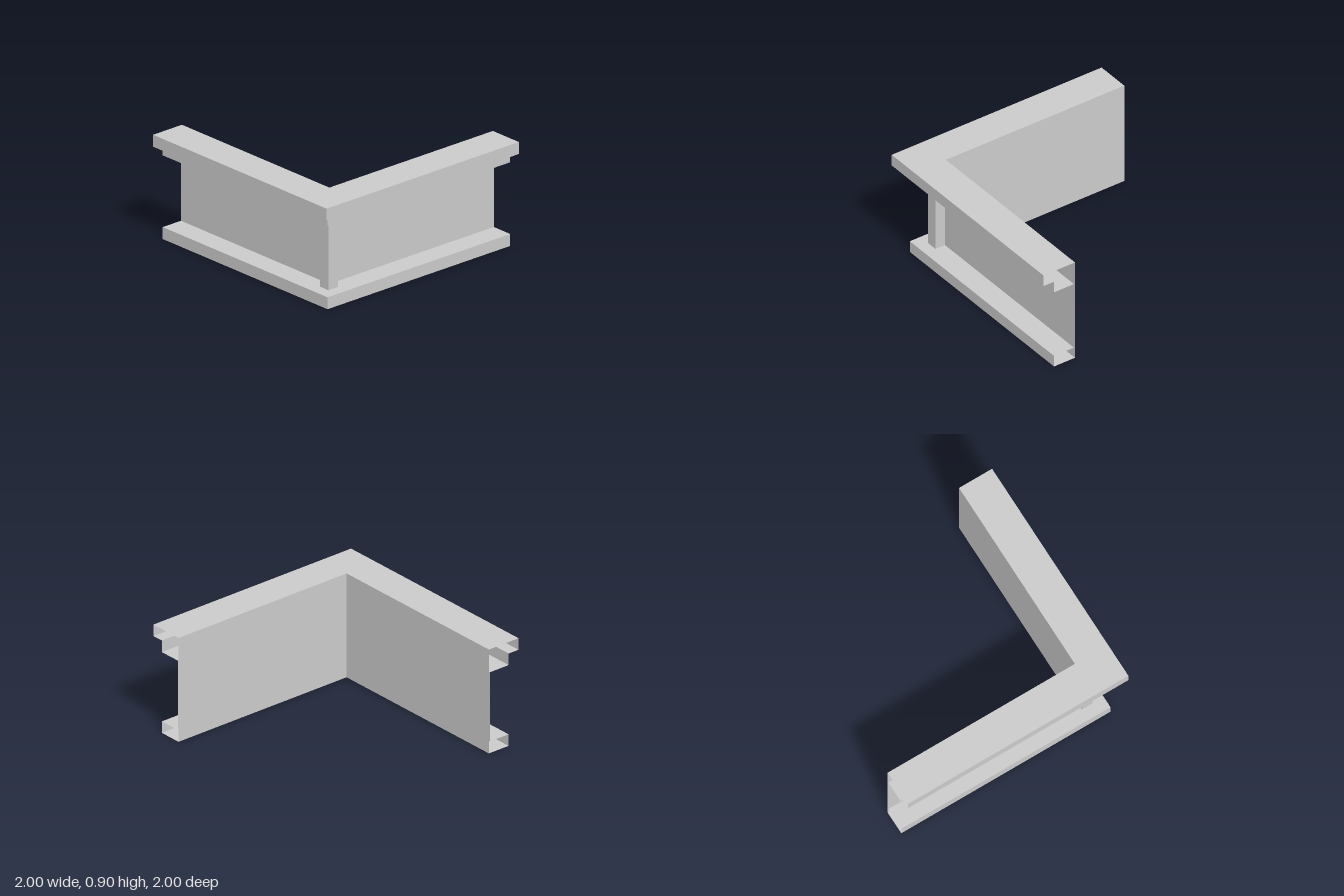
import * as THREE from 'three';

const material = new THREE.MeshStandardMaterial({
  color: 0xcccccc, flatShading: true, side: THREE.DoubleSide,
});

// Sweep an open profile of [outward offset, height] points along the L, mitred at the corner.
// The ends stay open.
function sweep(name, profile) {
  const stations = ([d, y]) => [[-1, y, d], [d, y, d], [d, y, -1]];
  const positions = [];
  for (let i = 0; i < profile.length - 1; i++) {
    const low = stations(profile[i]);
    const high = stations(profile[i + 1]);
    for (let s = 0; s < 2; s++) {
      const [a, b, c, d] = [low[s], low[s + 1], high[s + 1], high[s]];
      positions.push(...a, ...b, ...c, ...a, ...c, ...d);
    }
  }
  const geometry = new THREE.BufferGeometry();
  geometry.setAttribute('position', new THREE.Float32BufferAttribute(positions, 3));
  geometry.computeVertexNormals();
  const mesh = new THREE.Mesh(geometry, material);
  mesh.name = name;
  return mesh;
}

export function createModel() {
  const group = new THREE.Group();
  group.name = 'cornerWall';

  const inner = 0.7;   // inner wall plane
  const panel = 0.71;  // recessed outer panel
  const ledge = 0.9;   // base and lower moulding
  const cap = 1;       // top cap

  group.add(
    sweep('base', [[inner, 0], [ledge, 0], [ledge, 0.1], [panel, 0.1]]),
    sweep('outerPanel', [[panel, 0.1], [panel, 0.7]]),
    sweep('lowerMoulding', [[panel, 0.7], [ledge, 0.7], [ledge, 0.8]]),
    sweep('topCap', [[ledge, 0.8], [cap, 0.8], [cap, 0.9], [inner, 0.9]]),
    sweep('innerWall', [[inner, 0.9], [inner, 0]]),
  );

  // Square post standing in the outer corner
  const post = new THREE.Mesh(new THREE.BoxGeometry(0.1, 0.6, 0.1), material);
  post.name = 'cornerPost';
  post.position.set(0.75, 0.4, 0.75);
  group.add(post);

  return group;
}
